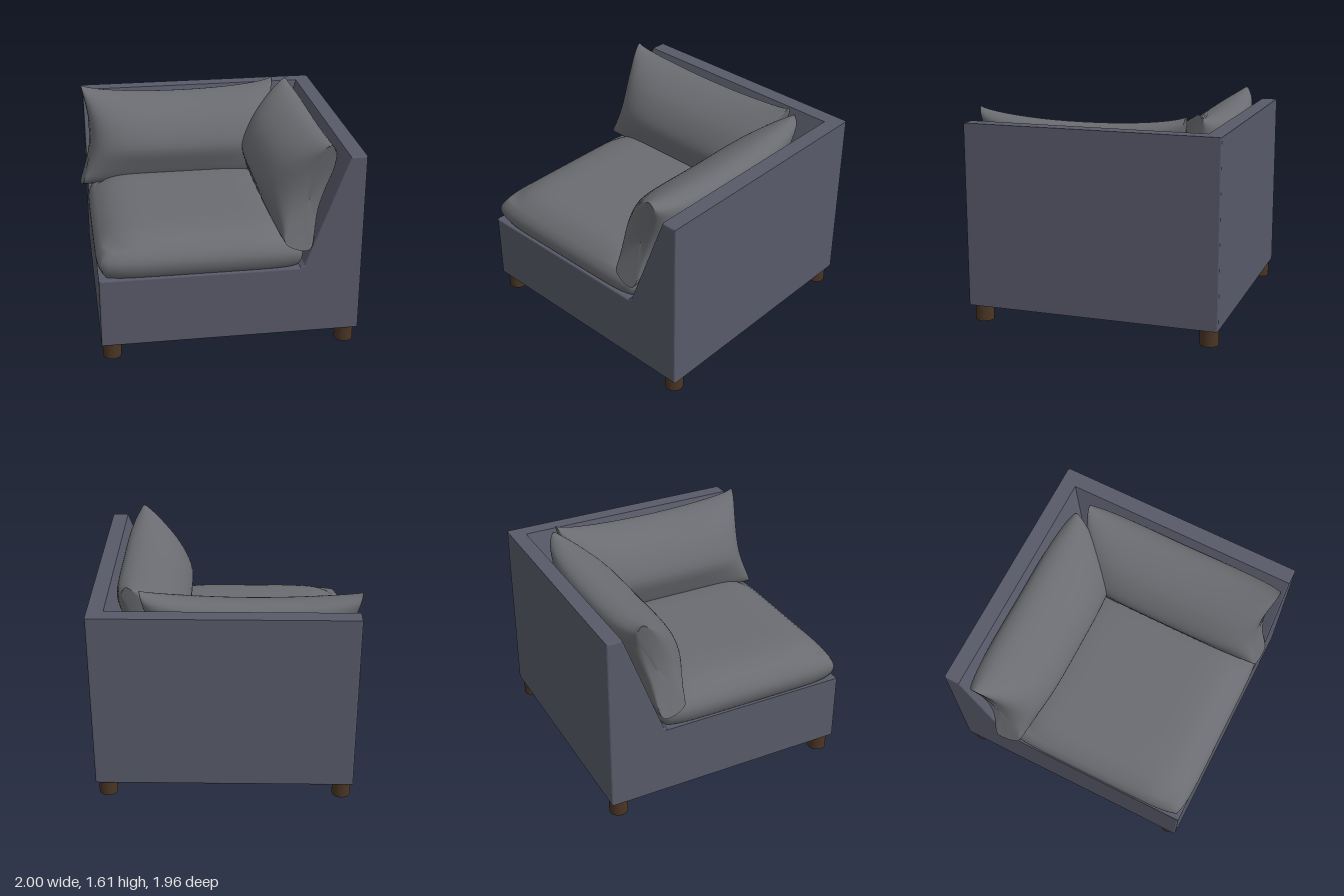
import * as THREE from 'three';
import { mergeVertices } from 'three/addons/utils/BufferGeometryUtils.js';

const fabric = new THREE.MeshStandardMaterial({ color: 0x585a69 });
const cushionFabric = new THREE.MeshStandardMaterial({ color: 0x6b6c71 });
const wood = new THREE.MeshStandardMaterial({ color: 0x4a3524 });

function add(parent, name, geometry, material) {
  const mesh = new THREE.Mesh(geometry, material);
  mesh.name = name;
  parent.add(mesh);
  return mesh;
}

// Profile in x/y run along z from -0.97 to 0.97 with softly bevelled edges
function upholsteredProfile(points) {
  const b = 0.012, length = 1.94;
  const shape = new THREE.Shape(points.map(([x, y]) => new THREE.Vector2(x, y)));
  const geometry = new THREE.ExtrudeGeometry(shape, {
    depth: length - 2 * b, bevelSize: b, bevelThickness: b, bevelOffset: -b, bevelSegments: 3,
  });
  return geometry.translate(0, 0, b - length / 2);
}

// Plump seat: a box whose vertices are rounded off towards the rim
function seatGeometry() {
  let g = new THREE.BoxGeometry(2, 2, 2, 32, 10, 32);
  g.deleteAttribute('normal');
  g.deleteAttribute('uv');
  g = mergeVertices(g);
  const p = g.attributes.position;
  for (let i = 0; i < p.count; i++) {
    const x = p.getX(i), y = p.getY(i), z = p.getZ(i);
    const rim = Math.min(1, Math.pow(Math.abs(x), 7) + Math.pow(Math.abs(z), 7));
    const top = 0.3 - 0.1 * rim;
    const side = 0.77 - (y > 0 ? 0.05 : 0.035) * y * y;
    const corner = 0.035;
    p.setXYZ(i,
      x * (side - corner * Math.pow(z, 8)),
      (y + 1) / 2 * top,
      z * (side - corner * Math.pow(x, 8)));
  }
  g.computeVertexNormals();
  return g;
}

// Leaning pillow: a full middle section lofted to thin, pinched ends along z
function pillowGeometry() {
  const loop = pts => new THREE.CatmullRomCurve3(
    pts.map(([x, y]) => new THREE.Vector3(x, y, 0)), true, 'centripetal');
  const middle = loop([[0.6, 0.82], [0.73, 1.14], [0.85, 1.4], [0.82, 1.49], [0.72, 1.525],
    [0.56, 1.48], [0.41, 1.37], [0.31, 1.18], [0.34, 1.03], [0.42, 0.87]]);
  const end = loop([[0.6, 0.82], [0.64, 1.05], [0.72, 1.35], [0.77, 1.5], [0.74, 1.56],
    [0.69, 1.52], [0.61, 1.35], [0.53, 1.1], [0.45, 0.97], [0.42, 0.87]]);
  const around = 60, along = 40, half = 0.84;
  const centre = new THREE.Vector3(0.6, 1.15, 0);
  const position = [], index = [];

  const ring = (s, shrink) => {
    const full = Math.sqrt(Math.max(0, 1 - s ** 4));
    for (let j = 0; j < around; j++) {
      const v = end.getPoint(j / around).lerp(middle.getPoint(j / around), full);
      v.lerp(centre, shrink);
      const t = THREE.MathUtils.clamp((v.y - 0.82) / 0.74, 0, 1);
      const reach = half - 0.04 * t - 0.075 * Math.sin(Math.PI * t) * s * s;
      position.push(v.x, v.y + 0.05 * s * s * t, s * reach);
    }
  };
  // Closed end, length, closed end
  ring(-1, 1);
  ring(-1, 0.5);
  for (let i = 0; i <= along; i++) ring(Math.sin((i / along - 0.5) * Math.PI), 0);
  ring(1, 0.5);
  ring(1, 1);

  for (let i = 0; i < along + 4; i++) {
    for (let j = 0; j < around; j++) {
      const k = (j + 1) % around;
      const a = i * around + j, b = i * around + k;
      const c = b + around, d = a + around;
      index.push(a, b, c, a, c, d);
    }
  }
  const g = new THREE.BufferGeometry();
  g.setAttribute('position', new THREE.Float32BufferAttribute(position, 3));
  g.setIndex(index);
  g.computeVertexNormals();
  return g;
}

export function createModel() {
  const group = new THREE.Group();
  group.name = 'cornerChair';

  // Base with the sloping side wall in one profile
  const slope = [[1, 1.52], [0.88, 1.52], [0.585, 0.73], [0.57, 0.69], [0.54, 0.665]];
  const base = add(group, 'baseAndSideWall', upholsteredProfile(
    [[-0.94, 0.125], [1, 0.125], ...slope, [-0.94, 0.665]]), fabric);
  base.position.z = -0.01;

  // Back wall: the same slope turned a quarter, mitred against the side wall
  const back = add(group, 'backWall', upholsteredProfile(
    [[0.54, 0.4], [1, 0.4], ...slope]), fabric);
  back.rotation.y = Math.PI / 2;
  back.position.set(0.03, 0, 0.02);

  // Cushions
  const seat = add(group, 'seatCushion', seatGeometry(), cushionFabric);
  seat.position.set(-0.18, 0.662, 0.2);
  const pillow = pillowGeometry();
  add(group, 'sidePillow', pillow, cushionFabric).position.z = 0.14;
  const backPillow = add(group, 'backPillow', pillow, cushionFabric);
  backPillow.rotation.y = Math.PI / 2;
  backPillow.position.set(-0.16, 0, 0.02);

  // Legs
  const legGeometry = new THREE.CylinderGeometry(0.07, 0.07, 0.14, 28);
  for (const x of [-0.86, 0.915]) {
    for (const z of [-0.895, 0.87]) {
      add(group, 'leg', legGeometry, wood).position.set(x, 0.07, z);
    }
  }
  return group;
}
